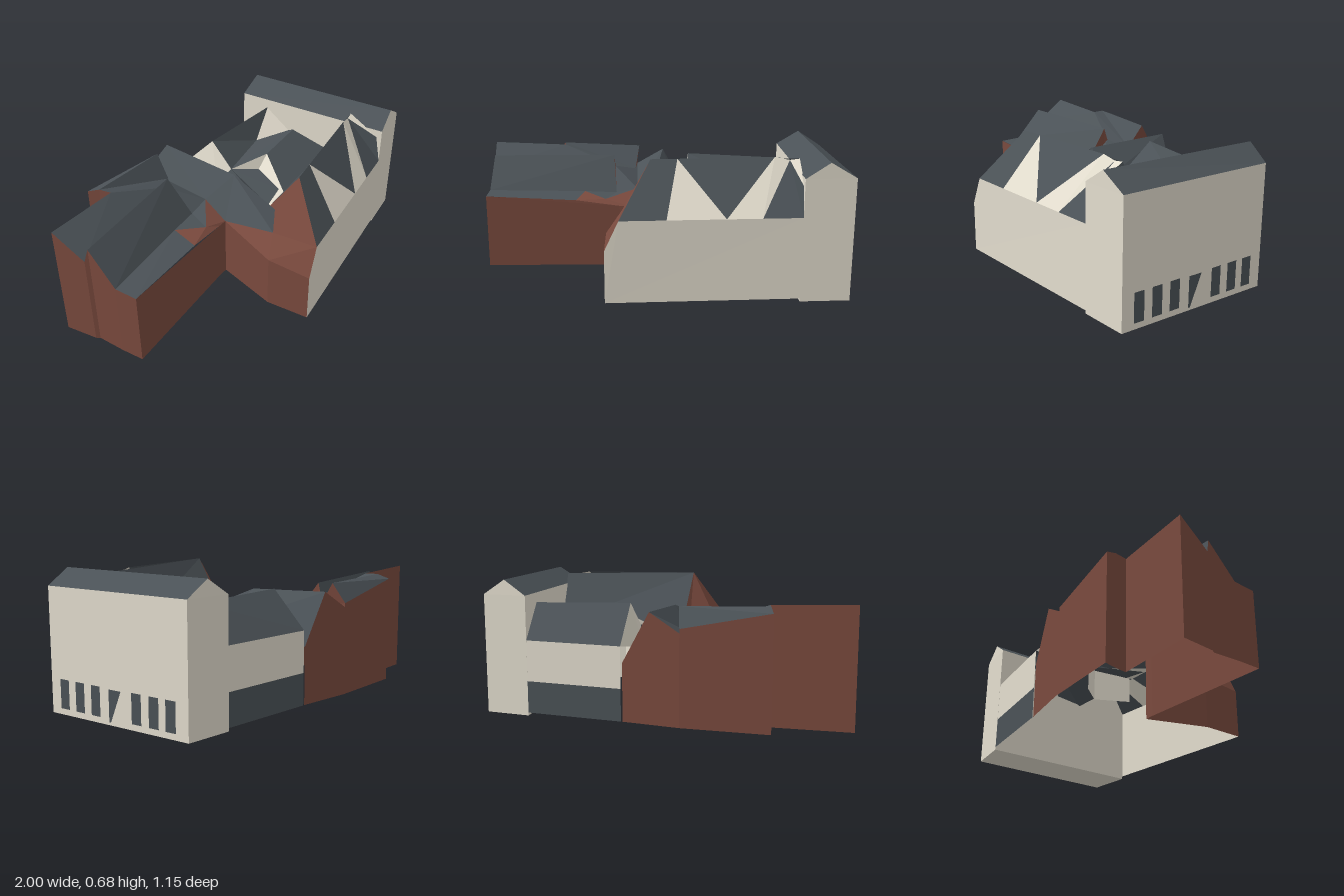
import * as THREE from 'three';

const mat = (name, color) => {
  const m = new THREE.MeshStandardMaterial({ color, side: THREE.DoubleSide, flatShading: true });
  m.name = name;
  return m;
};

export function createModel() {
  const group = new THREE.Group();
  const brick = mat('red brick', 0x7a4a3e);
  const cream = mat('cream render', 0xe4decf);
  const slate = mat('slate', 0x4b5257);
  const BASE = 0.015;

  // Mesh from flat polygons of [x, y, z] corners, each cut into a fan
  function faces(name, material, ...polys) {
    const pos = [];
    for (const p of polys)
      for (let i = 1; i < p.length - 1; i++) pos.push(...p[0], ...p[i], ...p[i + 1]);
    const geo = new THREE.BufferGeometry();
    geo.setAttribute('position', new THREE.Float32BufferAttribute(pos, 3));
    geo.computeVertexNormals();
    const mesh = new THREE.Mesh(geo, material);
    mesh.name = name;
    group.add(mesh);
  }

  // Upright wall below a top line, down to the ground or a given height
  function wall(name, material, top, y0 = BASE) {
    const polys = [];
    for (let i = 0; i < top.length - 1; i++) {
      const [a, b] = [top[i], top[i + 1]];
      polys.push([a, b, [b[0], y0, b[2]], [a[0], y0, a[2]]]);
    }
    faces(name, material, ...polys);
  }

  // ---- East block: long gabled hall with a closed floor
  const sw = [0.77, 0.6, 0.285], se = [1, 0.6, 0.21], sr = [0.88, 0.675, 0.25];
  const nw = [0.545, 0.6, -0.55], ne = [0.775, 0.6, -0.575], nr = [0.66, 0.675, -0.56];
  const down = ([x, , z]) => [x, 0, z];
  wall('eastBlockWalls', cream, [sw, se, ne, nw, sw], 0);
  faces('eastBlockGables', cream, [sw, se, sr], [ne, nw, nr]);
  faces('eastBlockFloor', cream, [sw, nw, ne, se].map(down));
  faces('eastBlockRoof', slate, [sr, se, ne, nr], [nw, sw, sr, nr]);

  // Windows lie on the outer long wall, given by z along it
  const onWall = (z, y) => [1.004 + (z - 0.21) * 0.2866, y, z];
  for (const z of [0.15, 0.055, -0.04, -0.275, -0.37, -0.46]) {
    const z2 = z - 0.053;
    faces('window', slate, [onWall(z, 0.03), onWall(z2, 0.03), onWall(z2, 0.17), onWall(z, 0.17)]);
  }
  faces('slantedWindow', slate,
    [onWall(-0.145, 0.015), onWall(-0.155, 0.015), onWall(-0.215, 0.165), onWall(-0.145, 0.165)]);

  // ---- South wing
  const ridge = (x, y = 0.665) => [x, y, 0.34 - 0.354 * (x - 0.05)];
  const eave = (x, y = 0.415) => [x, y, 0.555 - 0.331 * (x + 0.045)];
  const corner = [-0.11, 0.27, 0.575];
  const southEnd = [0.725, 0.655, 0.1], southHip = [0.77, 0.55, 0.27];
  const valleyW = [0.03, 0.39, 0.15], valleyE = [0.69, 0.39, -0.03];
  faces('southWall', cream,
    [[-0.11, BASE, 0.575], [0.77, BASE, 0.285], eave(0.77), eave(-0.045), corner]);
  faces('southRoof', slate,
    [ridge(0.05), eave(-0.045), eave(0.165)],
    [ridge(0.05), eave(0.165), ridge(0.17)],
    [ridge(0.17), eave(0.43), ridge(0.61)],
    [ridge(0.68, 0.65), eave(0.59), eave(0.77), southHip],
    [ridge(0.05), southEnd, valleyE, valleyW]);
  faces('southRoofCreamFaces', cream,
    [ridge(0.17), eave(0.165), eave(0.24)],
    [ridge(0.17), eave(0.24), eave(0.43)],
    [ridge(0.61), eave(0.43), eave(0.59), ridge(0.68, 0.65)],
    [ridge(0.68, 0.65), southHip, southEnd]);

  // ---- Link at the west end of the south wing
  const l1 = [-0.15, 0.34, 0.03], l2 = [-0.17, 0.29, 0.36], l3 = [-0.1, 0.4, 0.32];
  const midS = [-0.02, 0.53, -0.04], l4 = [0.015, 0.43, 0.22];
  faces('linkRoof', slate, [midS, l1, l3, l4, valleyW]);
  faces('linkBrickSlopes', brick,
    [ridge(0.05), l4, l3], [ridge(0.05), valleyW, l4], [ridge(0.05), l3, eave(-0.045)],
    [l1, l2, l3], [l2, corner, eave(-0.045), l3]);
  wall('linkWall', brick, [[-0.2, 0.34, 0.04], l1, l2, corner]);

  // ---- Central wing
  const midN = [-0.1, 0.55, -0.48];
  const mwN = [-0.25, 0.46, -0.47], mwS = [-0.15, 0.4, -0.12];
  const meN = [0.04, 0.3, -0.49], meS = [0.1, 0.38, -0.06];
  faces('centralRoof', slate, [midN, mwN, mwS, midS], [midN, midS, meS, meN],
    [midS, mwS, l1], [midS, meS, valleyW]);
  wall('centralBackWall', brick, [meN, midN, mwN]);

  // ---- West wing: low front strip, steep slope, then a pitch rising to the back
  const backEnd = [-0.615, 0.588, -0.275], valley = [-0.22, 0.46, -0.33];
  const w = [
    [[-0.87, 0.395, 0.23], [-0.2, 0.34, 0.04]],
    [[-0.9, 0.4, 0.12], [-0.26, 0.375, -0.1]],
    [[-0.93, 0.56, -0.02], [-0.31, 0.555, -0.22]],
    [[-0.945, 0.49, -0.035], [-0.31, 0.49, -0.24]],
    [[-1, 0.6, -0.19], backEnd],
  ];
  const strip = (i) => [w[i][0], w[i][1], w[i + 1][1], w[i + 1][0]];
  const e1 = [-0.42, 0.372, 0.103], k1 = [-0.42, 0.385, -0.045], m1 = [-0.28, 0.37, 0.03];
  faces('westRoof', slate, strip(1), strip(2), strip(3), [w[3][1], valley, backEnd],
    [w[0][0], e1, k1, w[1][0]], [k1, m1, w[1][1]], [w[1][1], m1, mwS],
    [w[1][1], mwS, w[3][1]], [w[3][1], mwS, mwN, valley]);
  faces('westBrickSlopes', brick, [e1, m1, k1], [e1, w[0][1], m1], [m1, w[0][1], l1, mwS]);
  wall('westFrontWall', brick, w[0]);
  wall('westEndWall', brick, w.map((p) => p[0]));
  wall('westBackWall', brick, w[4]);
  wall('westInnerEnd', brick, w.slice(1, 4).map((p) => p[1]), 0.36);

  // ---- Northwest annex: shallow slope to the back, steep slope to the west wing
  const a1 = [-0.67, 0.565, -0.39], a2 = [-0.25, 0.48, -0.47];
  const r1 = [-0.64, 0.588, -0.335], r2 = [-0.22, 0.577, -0.41];
  faces('annexRoof', slate, [a1, a2, r2, r1], [r1, r2, valley, backEnd]);
  wall('annexWalls', brick, [backEnd, r1, a1, a2]);
  faces('annexEastGable', brick, [a2, r2, valley, mwN]);

  // ---- North wing: slate base band, cream wall and pitched roof
  const nA = [0.048, 0.38, -0.492], nB = [0.55, 0.38, -0.55];
  const nR1 = [0.085, 0.565, -0.32], nR2 = [0.59, 0.55, -0.4];
  const at = ([x, , z], y) => [x, y, z];
  wall('northWall', cream, [nA, nB], 0.175);
  wall('northBaseBand', slate, [at(nA, 0.175), at(nB, 0.175)]);
  const c1 = [0.1, 0.44, -0.19], c2 = [0.41, 0.44, -0.31], c3 = [0.627, 0.44, -0.26];
  const c0 = [0.05, 0.34, -0.25];
  faces('northRoof', slate, [nA, nB, nR2, nR1], [nR1, nR2, c2], [nR1, c2, c1]);
  faces('northRoofEnds', cream, [nR1, nA, c0, c1], [c2, nR2, c3]);

  // ---- Courtyard roofs and light walls
  const d1 = [0.28, 0.5, -0.1], d2 = [0.57, 0.5, -0.18], d3 = [0.648, 0.41, -0.18];
  const d4 = [0.2, 0.39, 0.105], f1 = [0.23, 0.42, -0.11], f2 = [0.2, 0.39, 0.07];
  const f3 = [0.07, 0.38, 0.12];
  faces('courtyardRoof', slate,
    [c1, c2, d2, d1], [c2, c3, d2], [d1, d2, valleyE, d4], [d2, d3, valleyE],
    [c1, f1, f2, f3, meS], [c1, meS, c0]);
  faces('courtyardCreamFaces', cream,
    [d2, c3, d3],
    [c1, d1, f1], [d1, d4, f2, f1],
    [f3, f2, d4, valleyW], [meS, f3, valleyW]);
  wall('courtyardWalls', cream, [[0.2, 0.39, 0.09], [0.24, 0.42, -0.1], [0.12, 0.42, -0.18]], 0.25);

  return group;
}
